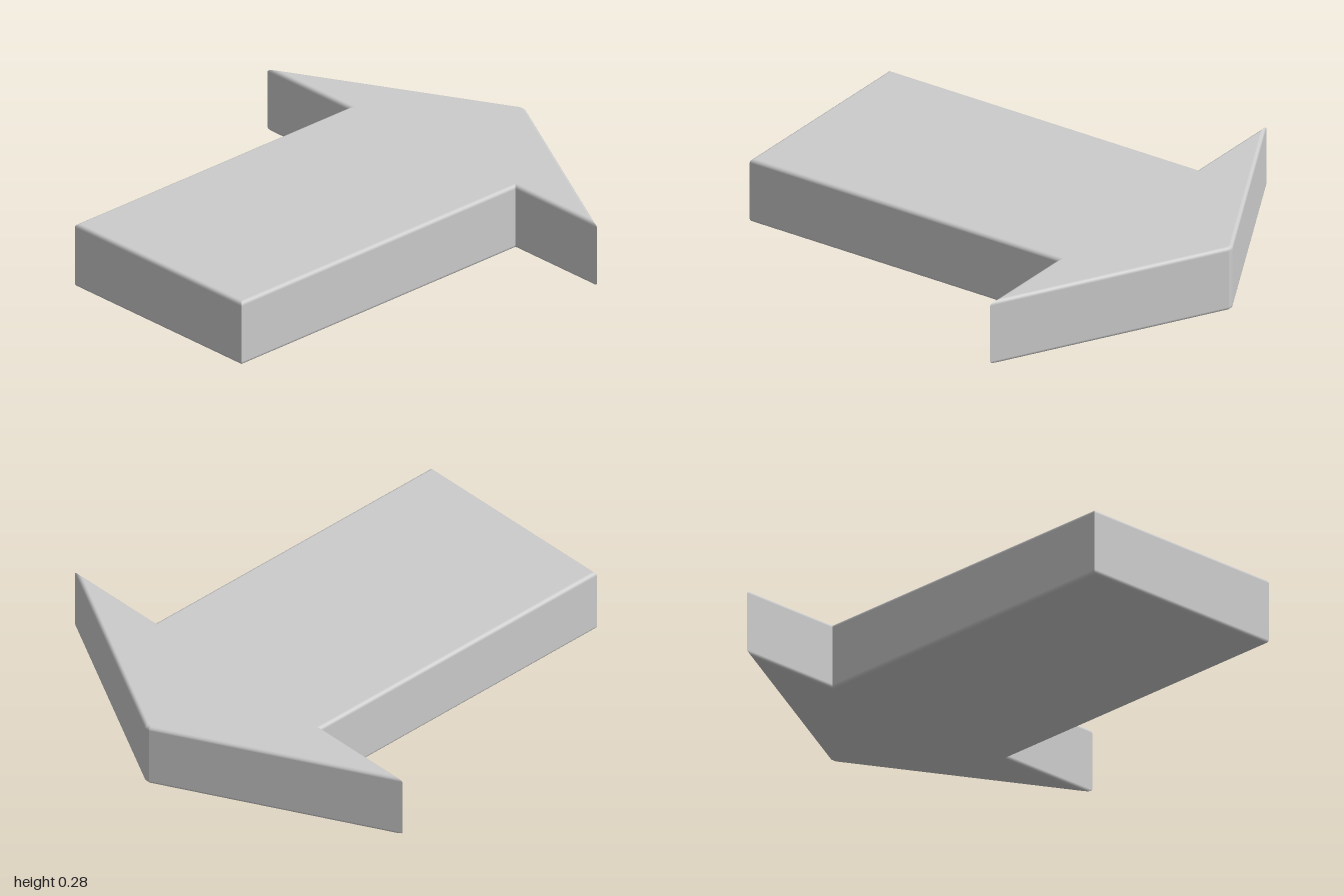
import * as THREE from 'three';

const HEIGHT = 0.28, BEVEL = 0.016, STEPS = 4;

// Arrow outline, counter-clockwise, with a slightly blunted tip
const half = [[-1, 0.48], [0.5, 0.48], [0.5, 0.95], [1, 0.012]];
const outline = [
  ...half.map(([x, y]) => new THREE.Vector2(x, -y)),
  ...half.map(([x, y]) => new THREE.Vector2(x, y)).reverse(),
];

// Outward normal of the edge that starts at corner i
const edgeNormal = (i) => {
  const n = outline.length;
  const d = outline[(i + 1) % n].clone().sub(outline[(i + n) % n]).normalize();
  return new THREE.Vector2(d.y, -d.x);
};

// Outline moved inwards by d with mitred corners
const inset = (d) => outline.map((p, i) => {
  const a = edgeNormal(i - 1 < 0 ? outline.length - 1 : i - 1), b = edgeNormal(i);
  return p.clone().addScaledVector(a.clone().add(b), -d / (1 + a.dot(b)));
});

function bevelledPrism() {
  const pos = [], nor = [], idx = [];
  const add = (p, z, nx, ny, nz) => {
    pos.push(p.x, p.y, z);
    nor.push(nx, ny, nz);
    return pos.length / 3 - 1;
  };

  // Rings from bottom to top: a quarter round, the wall, a quarter round
  const rings = [];
  for (let s = 0; s < 2 * (STEPS + 1); s++) {
    const top = s > STEPS;
    const t = ((top ? s - 1 : s) / STEPS - 1) * Math.PI / 2;
    const z = (top ? HEIGHT - BEVEL : BEVEL) + BEVEL * Math.sin(t);
    rings.push({ t, z, pts: inset(BEVEL * (1 - Math.cos(t))) });
  }

  // One rounded strip for each edge, sharp at the corners
  outline.forEach((_, i) => {
    const n = edgeNormal(i), j = (i + 1) % outline.length;
    rings.forEach(({ t, z, pts }, r) => {
      const c = Math.cos(t), s = Math.sin(t);
      const a = add(pts[i], z, n.x * c, n.y * c, s);
      const b = add(pts[j], z, n.x * c, n.y * c, s);
      if (r) idx.push(a - 2, b - 2, b, a - 2, b, a);
    });
  });

  // Flat top and bottom
  const capPts = inset(BEVEL);
  const faces = THREE.ShapeUtils.triangulateShape(capPts, []);
  for (const [z, s] of [[0, -1], [HEIGHT, 1]]) {
    const base = pos.length / 3;
    capPts.forEach((p) => add(p, z, 0, 0, s));
    for (const [a, b, c] of faces) {
      const area = capPts[b].clone().sub(capPts[a]).cross(capPts[c].clone().sub(capPts[a]));
      if (area * s > 0) idx.push(base + a, base + b, base + c);
      else idx.push(base + a, base + c, base + b);
    }
  }

  const g = new THREE.BufferGeometry();
  g.setAttribute('position', new THREE.Float32BufferAttribute(pos, 3));
  g.setAttribute('normal', new THREE.Float32BufferAttribute(nor, 3));
  g.setIndex(idx);
  return g.rotateX(-Math.PI / 2);
}

export function createModel() {
  const group = new THREE.Group();
  group.name = 'arrow';
  const body = new THREE.Mesh(bevelledPrism(), new THREE.MeshStandardMaterial({ color: 0xcccccc }));
  body.name = 'arrowBody';
  group.add(body);
  return group;
}
